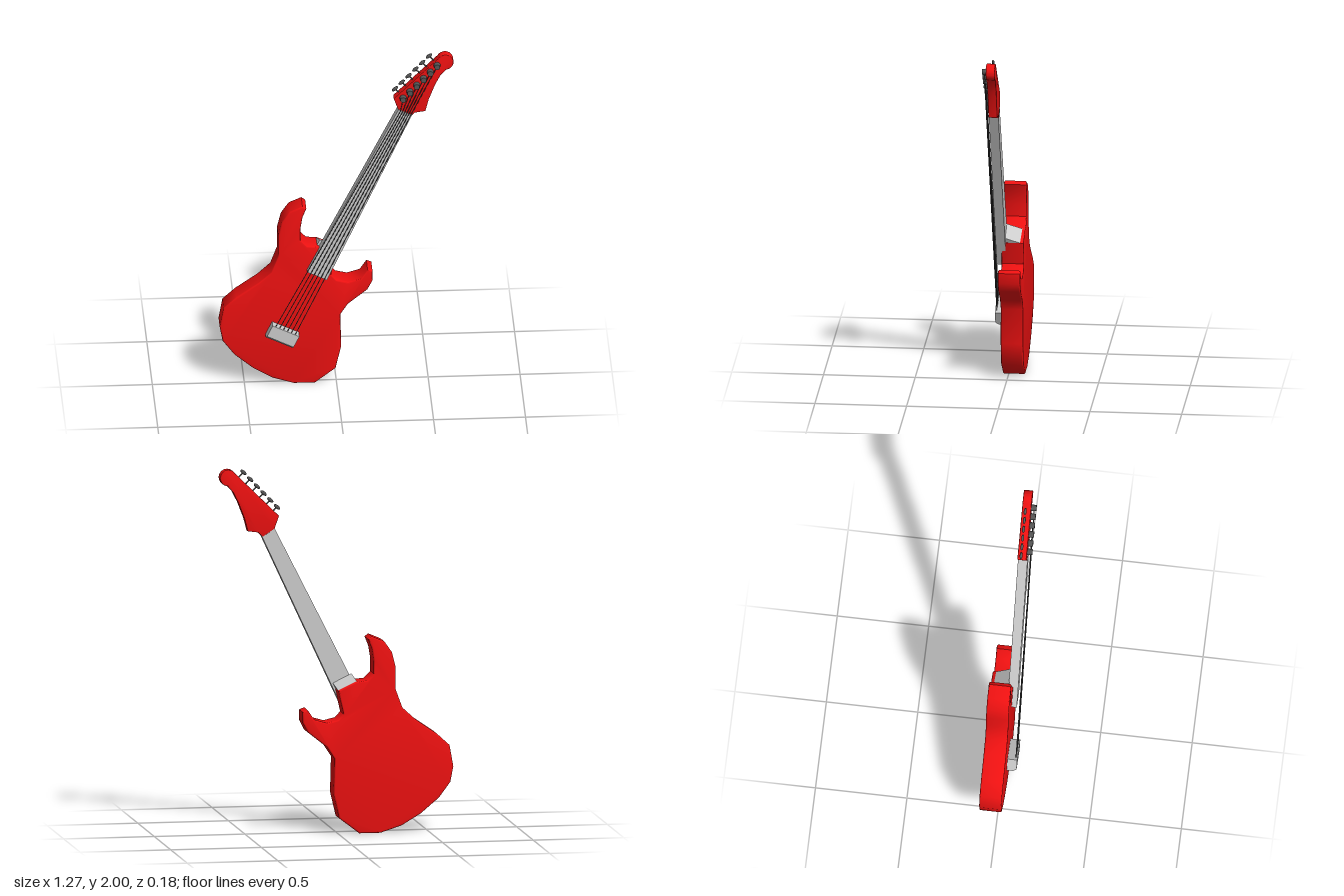
import * as THREE from 'three';
import { toCreasedNormals } from 'three/addons/utils/BufferGeometryUtils.js';

const red = new THREE.MeshStandardMaterial({ color: 0xee1111 });
const grey = new THREE.MeshStandardMaterial({ color: 0xcccccc });
const dark = new THREE.MeshStandardMaterial({ color: 0x555555 });

const TILT = 0.452; // lean of the neck from vertical
const NECK_FOOT = new THREE.Vector3(-0.108, 0.668, 0);
const NECK_LENGTH = 1.1;

function add(parent, name, geometry, material) {
  const mesh = new THREE.Mesh(geometry, material);
  mesh.name = name;
  parent.add(mesh);
  return mesh;
}

// Slab between two depths, with its rim slightly rounded
function slab(shape, zBack, zFront, bevel) {
  const geometry = new THREE.ExtrudeGeometry(shape, {
    depth: zFront - zBack - 2 * bevel, bevelSize: bevel, bevelThickness: bevel,
    bevelOffset: -bevel, bevelSegments: 3, curveSegments: 14,
  });
  geometry.translate(0, 0, zBack + bevel);
  return toCreasedNormals(geometry, 0.75);
}

// Box whose corners are moved by a rule
function shapedBox(w, h, d, rule) {
  const geometry = new THREE.BoxGeometry(w, h, d);
  const p = geometry.attributes.position;
  const v = new THREE.Vector3();
  for (let i = 0; i < p.count; i++) {
    rule(v.fromBufferAttribute(p, i));
    p.setXYZ(i, v.x, v.y, v.z);
  }
  geometry.computeVertexNormals();
  return geometry;
}

// Thin round bar between two points
function bar(parent, name, a, b, radius, sides) {
  const dir = b.clone().sub(a);
  const mesh = add(parent, name, new THREE.CylinderGeometry(radius, radius, dir.length(), sides), dark);
  mesh.position.copy(a).add(b).multiplyScalar(0.5);
  mesh.quaternion.setFromUnitVectors(new THREE.Vector3(0, 1, 0), dir.normalize());
}

export function createModel() {
  const guitar = new THREE.Group();
  guitar.name = 'electricGuitar';

  // Body with two horns and a neck pocket between them
  const outline = [
    [-0.185, 1.08], [-0.254, 1.05], [-0.296, 0.99], [-0.317, 0.906], [-0.317, 0.784],
    [-0.354, 0.684], [-0.423, 0.62], [-0.545, 0.535], [-0.614, 0.472], [-0.635, 0.355],
    [-0.619, 0.27], [-0.556, 0.185], [-0.455, 0.1], [-0.349, 0.037], [-0.233, 0], [-0.116, 0],
    [-0.005, 0.085], [0.026, 0.217], [0.021, 0.413], [0.063, 0.477], [0.169, 0.562],
    [0.196, 0.615], [0.196, 0.673], [0.169, 0.684], [0.132, 0.63], [0.063, 0.61], [0, 0.625],
    [-0.03, 0.657], [0, 0.785], [-0.1, 0.832], [-0.159, 0.837], [-0.196, 0.874],
    [-0.196, 0.943], [-0.185, 1.012], [-0.164, 1.065],
  ].map(([x, y]) => new THREE.Vector2(x, y));
  add(guitar, 'body', slab(new THREE.Shape(outline), -0.09, 0.032, 0.008), red);

  // Leaning frame: y runs along the neck, x across it
  const leaning = new THREE.Group();
  leaning.name = 'neckAssembly';
  leaning.position.copy(NECK_FOOT);
  leaning.rotation.z = -TILT;
  guitar.add(leaning);

  // Neck tapering towards the headstock
  const neck = add(leaning, 'neck', shapedBox(0.119, NECK_LENGTH, 0.052, (v) => {
    if (v.y > 0) v.x *= 0.68;
  }), grey);
  neck.position.set(0, NECK_LENGTH / 2, 0.034);

  // Heel with a sloped end, reaching back through the body
  const heel = add(leaning, 'neckHeel', shapedBox(0.114, 0.136, 0.092, (v) => {
    if (v.y > 0 && v.z < 0) v.y -= 0.038;
  }), grey);
  heel.position.set(-0.012, 0.118, -0.036);

  // Bridge with a chamfered lower edge
  const profile = new THREE.Shape([
    [-0.0425, 0.025], [0.0425, 0.025], [0.0425, 0.085], [-0.028, 0.085], [-0.0425, 0.068],
  ].map(([y, z]) => new THREE.Vector2(y, z)));
  const bridgeGeometry = new THREE.ExtrudeGeometry(profile, { depth: 0.161, bevelEnabled: false });
  bridgeGeometry.translate(0, 0, -0.0805);
  bridgeGeometry.applyMatrix4(new THREE.Matrix4().makeBasis(
    new THREE.Vector3(0, 1, 0), new THREE.Vector3(0, 0, 1), new THREE.Vector3(1, 0, 0)));
  add(leaning, 'bridge', bridgeGeometry, grey).position.set(-0.013, -0.404, 0);

  // Headstock ending in a round tip
  const head = new THREE.Shape();
  [[0.31, 1.74], [0.335, 1.67], [0.4, 1.627], [0.425, 1.652], [0.482, 1.66], [0.5, 1.73],
    [0.535, 1.82], [0.565, 1.878], [0.593, 1.908],
  ].forEach(([x, y], i) => (i ? head.lineTo(x, y) : head.moveTo(x, y)));
  head.absarc(0.59, 1.955, 0.045, -Math.PI / 2, Math.PI * 0.83, false);
  head.closePath();
  add(guitar, 'headstock', slab(head, 0.007, 0.056, 0.003), red);

  // Six tuners in a row, each with its string
  leaning.updateMatrix();
  for (let i = 0; i < 6; i++) {
    const x = 0.36 + 0.037 * i;
    const y = 1.745 + 0.039 * i;
    const tuner = new THREE.Group();
    tuner.name = 'tuner';
    tuner.position.set(x, y, 0);
    guitar.add(tuner);

    const post = add(tuner, 'tunerPost', new THREE.CylinderGeometry(0.016, 0.019, 0.03, 10), dark);
    post.rotation.x = Math.PI / 2;
    post.position.z = 0.069;
    bar(tuner, 'tunerShaft', new THREE.Vector3(0, 0, 0.027), new THREE.Vector3(-0.042, 0.042, 0.027), 0.004, 8);
    const button = add(tuner, 'tunerButton', new THREE.SphereGeometry(1, 12, 8), dark);
    button.scale.set(0.021, 0.01, 0.008);
    button.rotation.z = 0.7;
    button.position.set(-0.042, 0.042, 0.027);

    const t = i / 5 - 0.5;
    const start = new THREE.Vector3(-0.015 + 0.118 * t, -0.37, 0.076).applyMatrix4(leaning.matrix);
    const nut = new THREE.Vector3(0.062 * t, NECK_LENGTH, 0.074).applyMatrix4(leaning.matrix);
    bar(guitar, 'string', start, nut, 0.0022, 6);
    bar(guitar, 'string', nut, new THREE.Vector3(x, y, 0.072), 0.0022, 6);
  }
  return guitar;
}
